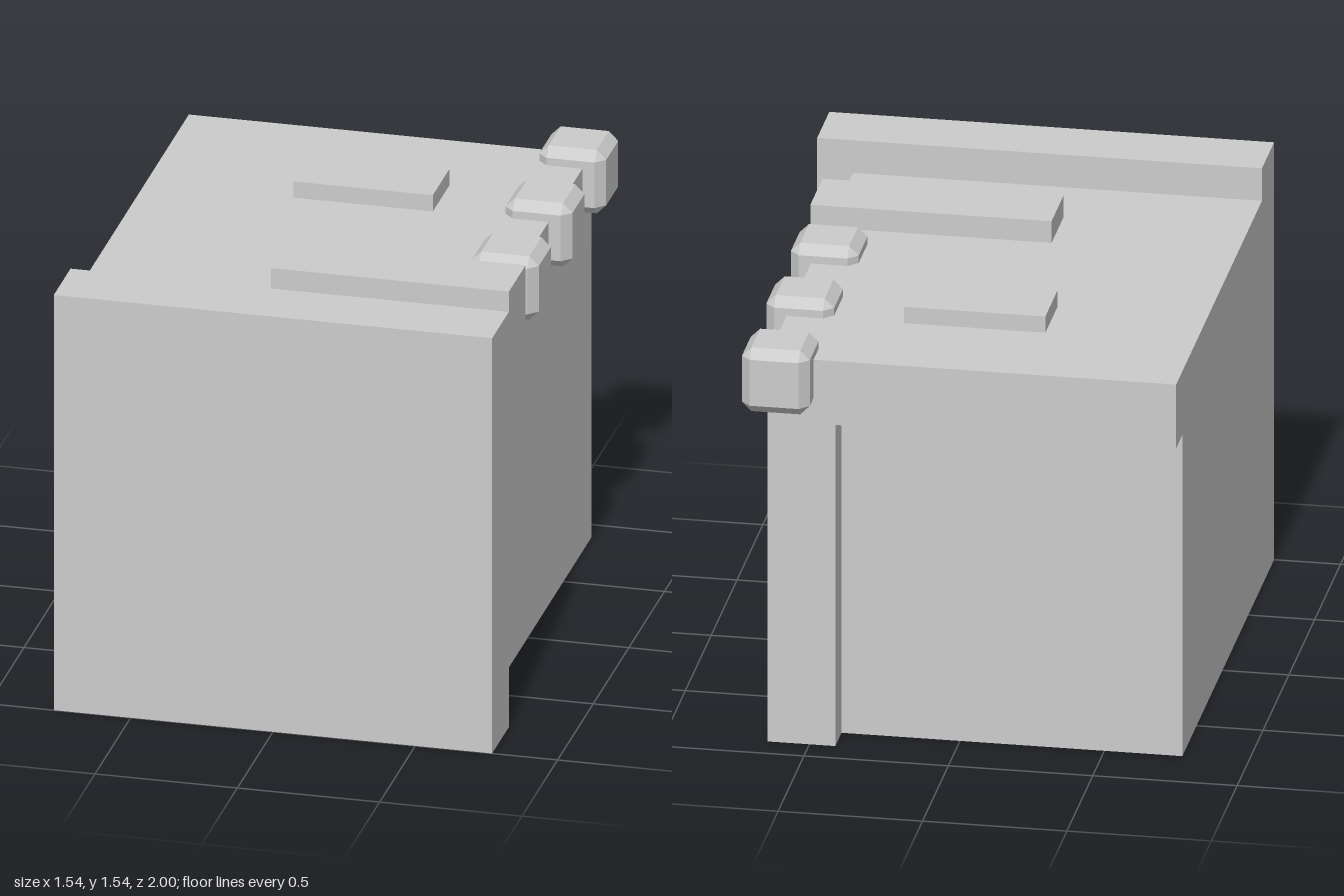
import * as THREE from 'three';
import { ConvexGeometry } from 'three/addons/geometries/ConvexGeometry.js';

const material = new THREE.MeshStandardMaterial({ color: 0xcccccc, flatShading: true });

// Box given by its extents on each axis
function block(name, [x0, x1], [y0, y1], [z0, z1]) {
  const mesh = new THREE.Mesh(new THREE.BoxGeometry(x1 - x0, y1 - y0, z1 - z0), material);
  mesh.position.set((x0 + x1) / 2, (y0 + y1) / 2, (z0 + z1) / 2);
  mesh.name = name;
  return mesh;
}

// Cube with every edge and corner cut flat
function chamferedCube(size, cut) {
  const h = size / 2, i = h - cut, points = [];
  for (const sx of [-1, 1]) for (const sy of [-1, 1]) for (const sz of [-1, 1]) {
    points.push(
      new THREE.Vector3(sx * h, sy * i, sz * i),
      new THREE.Vector3(sx * i, sy * h, sz * i),
      new THREE.Vector3(sx * i, sy * i, sz * h));
  }
  return new ConvexGeometry(points);
}

export function createModel() {
  const model = new THREE.Group();
  model.name = 'cabinet';

  // Main body: footprint recessed at the back, leaving a post on one corner
  const left = 0.645, right = -0.77, front = 0.765, back = -0.895, recess = -0.775;
  const slabBottom = 1.185, top = 1.42;
  const footprint = new THREE.Shape([
    [right, front], [left, front], [left, back], [0.41, back], [0.41, recess], [right, recess],
  ].map(([x, z]) => new THREE.Vector2(x, -z)));
  const bodyGeometry = new THREE.ExtrudeGeometry(footprint, { depth: slabBottom, bevelEnabled: false });
  bodyGeometry.rotateX(-Math.PI / 2);
  const body = new THREE.Mesh(bodyGeometry, material);
  body.name = 'body';
  model.add(body);

  // Top slab overhanging the back recess, and the taller front panel
  model.add(block('topSlab', [right, left], [slabBottom, top], [back, front]));
  model.add(block('frontPanel', [-0.77, 0.77], [0, 1.54], [0.765, 1]));

  // Raised strips let into the top
  model.add(block('longBar', [-0.13, 0.705], [1.265, 1.5], [0.27, 0.505]));
  model.add(block('shortBar', [-0.25, 0.24], [1.245, 1.48], [-0.52, -0.285]));

  // Row of knobs along the top edge
  const knobGeometry = chamferedCube(0.235, 0.033);
  [-0.883, -0.41, 0.063].forEach((z, n) => {
    const knob = new THREE.Mesh(knobGeometry, material);
    knob.position.set(0.603, 1.363, z);
    knob.name = `knob${n + 1}`;
    model.add(knob);
  });

  return model;
}
